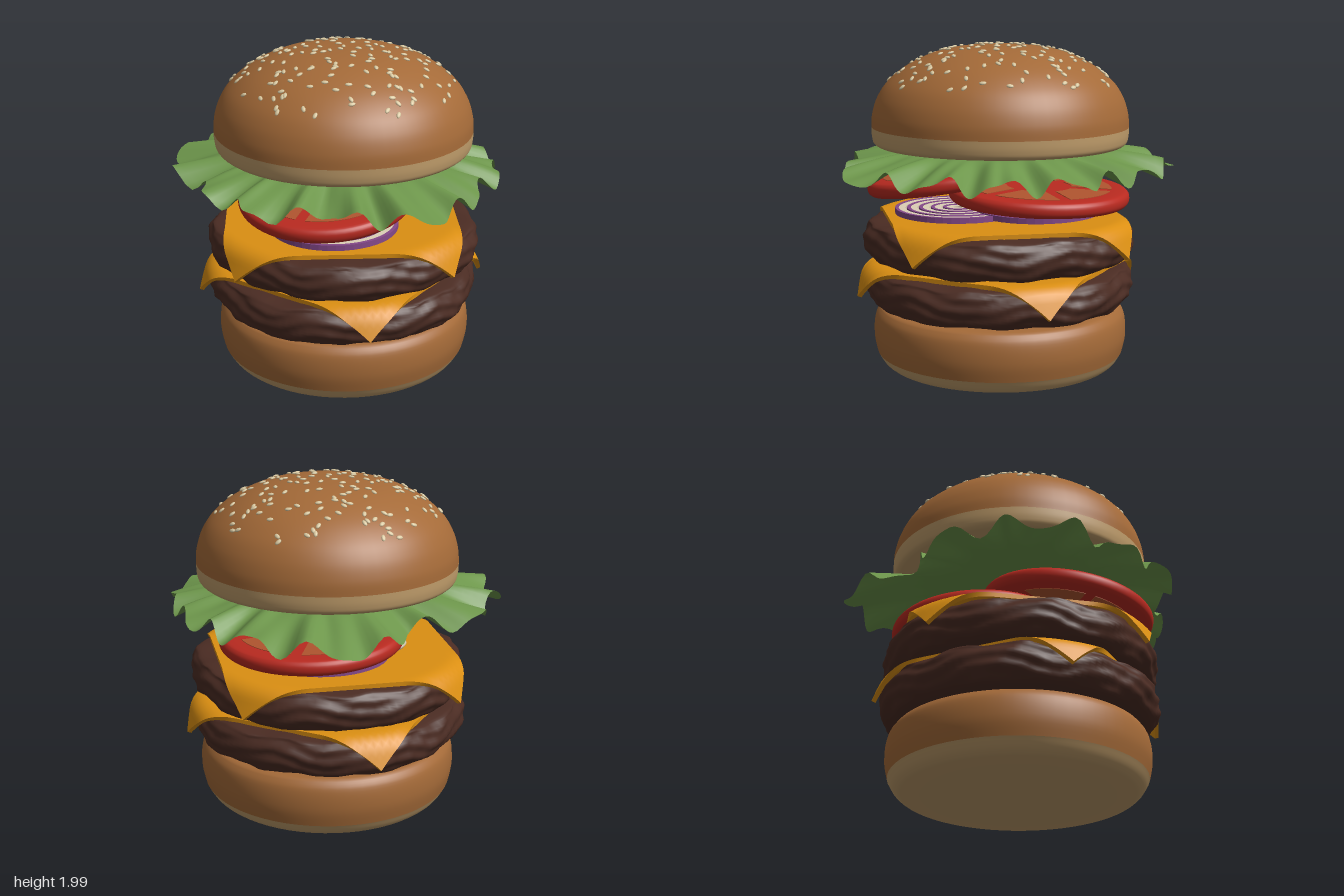
import * as THREE from 'three';
import { mergeGeometries, mergeVertices } from 'three/addons/utils/BufferGeometryUtils.js';

const CX = 0.01, CZ = -0.065; // axis of the stack

const mat = (name, color, side = THREE.FrontSide) => {
  const m = new THREE.MeshStandardMaterial({ color, side });
  m.name = name;
  return m;
};
const M = {
  crust: mat('bun crust', 0xa46a38),
  crumb: mat('bun crumb', 0xbf9c6a),
  patty: mat('grilled patty', 0x4b2c23),
  cheese: mat('cheese', 0xdb8f12),
  lettuce: mat('lettuce', 0x6d964b, THREE.DoubleSide),
  tomato: mat('tomato skin', 0xb92a20),
  flesh: mat('tomato flesh', 0xb0552f),
  purple: mat('onion skin', 0x85498a),
  onion: mat('onion white', 0xdccfb6),
  seed: mat('sesame seed', 0xd8c8a0),
};

let state = 7;
const rand = () => (state = (state * 16807) % 2147483647) / 2147483647;

function add(parent, name, geometry, material, x = 0, y = 0, z = 0) {
  const m = new THREE.Mesh(geometry, material);
  m.name = name;
  m.position.set(x, y, z);
  parent.add(m);
  return m;
}

const vecs = (pts) => pts.map(([x, y]) => new THREE.Vector2(x, y));
const smoothLathe = (pts, n = 24, seg = 64) =>
  new THREE.LatheGeometry(new THREE.SplineCurve(vecs(pts)).getPoints(n), seg);

// Drop seams so that recomputed normals stay smooth
function weld(g) {
  g.deleteAttribute('uv');
  g.deleteAttribute('normal');
  g = mergeVertices(g, 1e-4);
  g.computeVertexNormals();
  return g;
}

// Lumpy meat disc
function pattyGeometry(phase) {
  const g = smoothLathe([[0, -0.12], [0.4, -0.12], [0.7, -0.12], [0.78, -0.1], [0.82, -0.04],
    [0.825, 0.03], [0.8, 0.085], [0.74, 0.115], [0.4, 0.12], [0, 0.12]], 45, 120);
  const p = g.attributes.position;
  for (let i = 0; i < p.count; i++) {
    const x = p.getX(i), y = p.getY(i), z = p.getZ(i), r = Math.hypot(x, z), a = Math.atan2(z, x);
    const k = THREE.MathUtils.smoothstep(r, 0.55, 0.8);
    const lump = 0.008 * Math.sin(5 * a + phase) + 0.006 * Math.sin(11 * a + y * 20 + phase)
      + 0.006 * Math.sin(y * 75 + 2.5 * Math.sin(7 * a + phase)) + 0.004 * Math.sin(31 * a + y * 50);
    const s = 1 + (k * lump) / Math.max(r, 0.1);
    p.setXYZ(i, x * s, y + k * 0.006 * Math.sin(13 * a + phase), z * s);
  }
  return weld(g);
}

// Square slice whose corners bend down over the patty rim
function cheeseGeometry(side, turn) {
  const g = new THREE.BoxGeometry(side, 0.026, side, 40, 1, 40);
  g.rotateY(Math.PI / 4 + turn);
  const p = g.attributes.position, R = 0.1, A = 1.2, flat = 0.755;
  for (let i = 0; i < p.count; i++) {
    const x = p.getX(i), t = p.getY(i), z = p.getZ(i), r = Math.hypot(x, z);
    const e = Math.max(0, r - flat), a = Math.min(e / R, A), rest = Math.max(0, e - R * A);
    const nr = Math.min(r, flat) + R * Math.sin(a) + rest * Math.cos(A) + t * Math.sin(a);
    const y = -R * (1 - Math.cos(a)) - rest * Math.sin(A) + t * Math.cos(a);
    const s = r > 1e-5 ? nr / r : 1;
    p.setXYZ(i, x * s, y, z * s);
  }
  g.computeVertexNormals();
  return g;
}

// Leaf with a ruffled rim: rings scaled from a wavy outline
function lettuceGeometry() {
  const rim = [[0.05, -0.88], [-0.05, -0.95], [-0.3, -1], [-0.5, -0.87], [-0.68, -0.86], [-0.74, -0.7],
    [-0.88, -0.6], [-0.86, -0.28], [-0.96, -0.17], [-0.9, 0.08], [-0.94, 0.2], [-0.78, 0.42], [-0.6, 0.52],
    [-0.5, 0.75], [-0.4, 0.8], [-0.3, 0.95], [-0.2, 1], [-0.02, 0.92], [0.12, 0.92], [0.25, 0.86],
    [0.35, 0.75], [0.5, 0.75], [0.6, 0.68], [0.62, 0.6], [0.75, 0.5], [0.8, 0.35], [0.92, 0.2],
    [0.9, 0.05], [0.96, -0.12], [0.9, -0.3], [0.92, -0.48], [0.8, -0.68], [0.77, -0.83], [0.62, -0.88],
    [0.35, -0.9], [0.15, -0.81]];
  const curve = new THREE.CatmullRomCurve3(rim.map(([x, z]) => new THREE.Vector3(x, 0, z)), true);
  const N = 252, T = 20, pos = [], idx = [];
  for (let j = 0; j <= T; j++) {
    const t = j / T, k = Math.max(0, (t - 0.58) / 0.42);
    for (let i = 0; i < N; i++) {
      const q = curve.getPoint(i / N), a = Math.atan2(q.z, q.x);
      const wave = Math.sin(17 * a + 0.6 * Math.sin(3 * a) + 0.9 * k) + 0.45 * Math.sin(29 * a + 1);
      const y = 1.352 - 0.1 * Math.pow(k, 1.2) + 0.042 * Math.pow(k, 0.8) * wave;
      pos.push(q.x * t, Math.min(y, 1.362), CZ + (q.z - CZ) * t);
      if (j < T) {
        const b = j * N + i, c = j * N + ((i + 1) % N);
        idx.push(b, b + N, c, c, b + N, c + N);
      }
    }
  }
  const g = new THREE.BufferGeometry();
  g.setAttribute('position', new THREE.Float32BufferAttribute(pos, 3));
  g.setIndex(idx);
  g.computeVertexNormals();
  return g;
}

// Round slice with seed pockets on both faces
function tomatoSlice(r) {
  const g = new THREE.Group(), h = 0.048;
  g.name = 'tomatoSlice';
  add(g, 'tomatoBody', smoothLathe([[0, -h], [r * 0.5, -h], [r - 0.06, -h], [r - 0.012, -h * 0.7], [r, 0],
    [r - 0.012, h * 0.7], [r - 0.06, h], [r * 0.5, h], [0, h]], 32), M.tomato);
  const pockets = [], n = 6;
  for (let i = 0; i < n; i++) {
    const a = (i / n) * Math.PI * 2, w = (Math.PI / n) * 0.86, s = new THREE.Shape();
    s.absarc(0, 0, r * 0.8, a - w, a + w, false);
    s.absarc(0, 0, r * 0.36, a + w * 0.8, a - w * 0.8, true);
    pockets.push(new THREE.ExtrudeGeometry(s, { depth: 0.006, bevelEnabled: false, curveSegments: 10 }));
  }
  const plate = mergeGeometries(pockets).rotateX(-Math.PI / 2);
  add(g, 'pocketsTop', plate, M.flesh, 0, h - 0.002, 0);
  add(g, 'pocketsBottom', plate, M.flesh, 0, -h - 0.004, 0);
  return g;
}

// Concentric rings, purple skins between white layers
function onionSlice(r) {
  const g = new THREE.Group();
  g.name = 'onionSlice';
  const ring = (name, r0, r1, h, m) => {
    const geometry = new THREE.LatheGeometry(
      vecs([[r0, -h], [r1, -h], [r1, h], [r0, h], [r0, -h]]), 48).toNonIndexed();
    geometry.computeVertexNormals();
    add(g, name, geometry, m);
  };
  for (let i = 0; i < 5; i++) {
    const o = r * (1 - i * 0.19);
    ring('onionSkin', o - 0.022, o, 0.017, M.purple);
    ring('onionLayer', o - r * 0.165, o - 0.022, 0.014, M.onion);
  }
  return g;
}

export function createModel() {
  const burger = new THREE.Group();
  burger.name = 'burger';

  // Bottom bun
  add(burger, 'bottomBunCrumb', smoothLathe([[0, 0.005], [0.35, 0.005], [0.64, 0.006], [0.72, 0.03], [0.765, 0.095]]), M.crumb, CX, 0, CZ);
  add(burger, 'bottomBunCrust', smoothLathe([[0.765, 0.095], [0.784, 0.19], [0.78, 0.29], [0.755, 0.355],
    [0.69, 0.385], [0.4, 0.387], [0, 0.387]]), M.crust, CX, 0, CZ);

  // Patties and cheese
  add(burger, 'lowerPatty', pattyGeometry(0.4), M.patty, 0, 0.52, CZ);
  add(burger, 'lowerCheese', cheeseGeometry(1.4, -0.52), M.cheese, 0, 0.65, CZ);
  add(burger, 'upperPatty', pattyGeometry(2.6), M.patty, 0.005, 0.8, CZ + 0.005);
  add(burger, 'upperCheese', cheeseGeometry(1.41, 0.13), M.cheese, 0, 0.932, -0.085);

  // Onion slices, with a loose curl at the back
  const onionA = onionSlice(0.39);
  onionA.position.set(-0.2, 0.963, 0.09);
  const onionB = onionSlice(0.39);
  onionB.position.set(0.2, 0.976, -0.2);
  onionB.rotation.x = 0.02;
  burger.add(onionA, onionB);
  const curl = new THREE.CatmullRomCurve3([[-0.28, 0.985, -0.42], [-0.16, 1.005, -0.52], [-0.02, 1.01, -0.55],
    [0.1, 1, -0.5]].map((p) => new THREE.Vector3(...p)));
  add(burger, 'onionCurl', new THREE.TubeGeometry(curl, 24, 0.016, 8), M.onion);

  // Tomato slices
  const tomatoA = tomatoSlice(0.55);
  tomatoA.position.set(0.25, 1.082, -0.15);
  tomatoA.rotation.z = -0.04;
  const tomatoB = tomatoSlice(0.53);
  tomatoB.position.set(-0.25, 1.172, 0.09);
  tomatoB.rotation.set(0.085, 0, 0.135);
  burger.add(tomatoA, tomatoB);

  // Lettuce
  add(burger, 'lettuce', lettuceGeometry(), M.lettuce);

  // Top bun
  add(burger, 'topBunCrumb', smoothLathe([[0, 1.376], [0.4, 1.376], [0.7, 1.376], [0.765, 1.388], [0.782, 1.43], [0.785, 1.49]]), M.crumb, CX, 0, CZ);
  const dome = new THREE.SplineCurve(vecs([[0.785, 1.49], [0.778, 1.57], [0.745, 1.67], [0.68, 1.765], [0.56, 1.86],
    [0.39, 1.937], [0.2, 1.975], [0, 1.985]])).getPoints(40);
  add(burger, 'topBunCrust', new THREE.LatheGeometry(dome, 64), M.crust, CX, 0, CZ);

  // Sesame seeds lying on the dome
  const seeds = [], count = 185, up = new THREE.Vector3(0, 1, 0);
  for (let i = 0; i < count; i++) {
    const r = 0.69 * Math.sqrt((i + rand()) / count), a = i * 2.39996 + (rand() - 0.5) * 0.9;
    const j = dome.findIndex((p) => p.x <= r), p = dome[j], q = dome[j - 1];
    const y = THREE.MathUtils.mapLinear(r, q.x, p.x, q.y, p.y);
    const n = new THREE.Vector3((p.y - q.y) * Math.cos(a), q.x - p.x, (p.y - q.y) * Math.sin(a)).normalize();
    const turn = new THREE.Quaternion().setFromUnitVectors(up, n)
      .multiply(new THREE.Quaternion().setFromAxisAngle(up, rand() * Math.PI));
    const s = new THREE.SphereGeometry(1, 8, 5);
    s.applyMatrix4(new THREE.Matrix4().compose(
      new THREE.Vector3(r * Math.cos(a), y, r * Math.sin(a)).addScaledVector(n, 0.003),
      turn, new THREE.Vector3(0.022, 0.008, 0.013)));
    seeds.push(s);
  }
  add(burger, 'sesameSeeds', mergeGeometries(seeds), M.seed, CX, 0, CZ);

  return burger;
}
